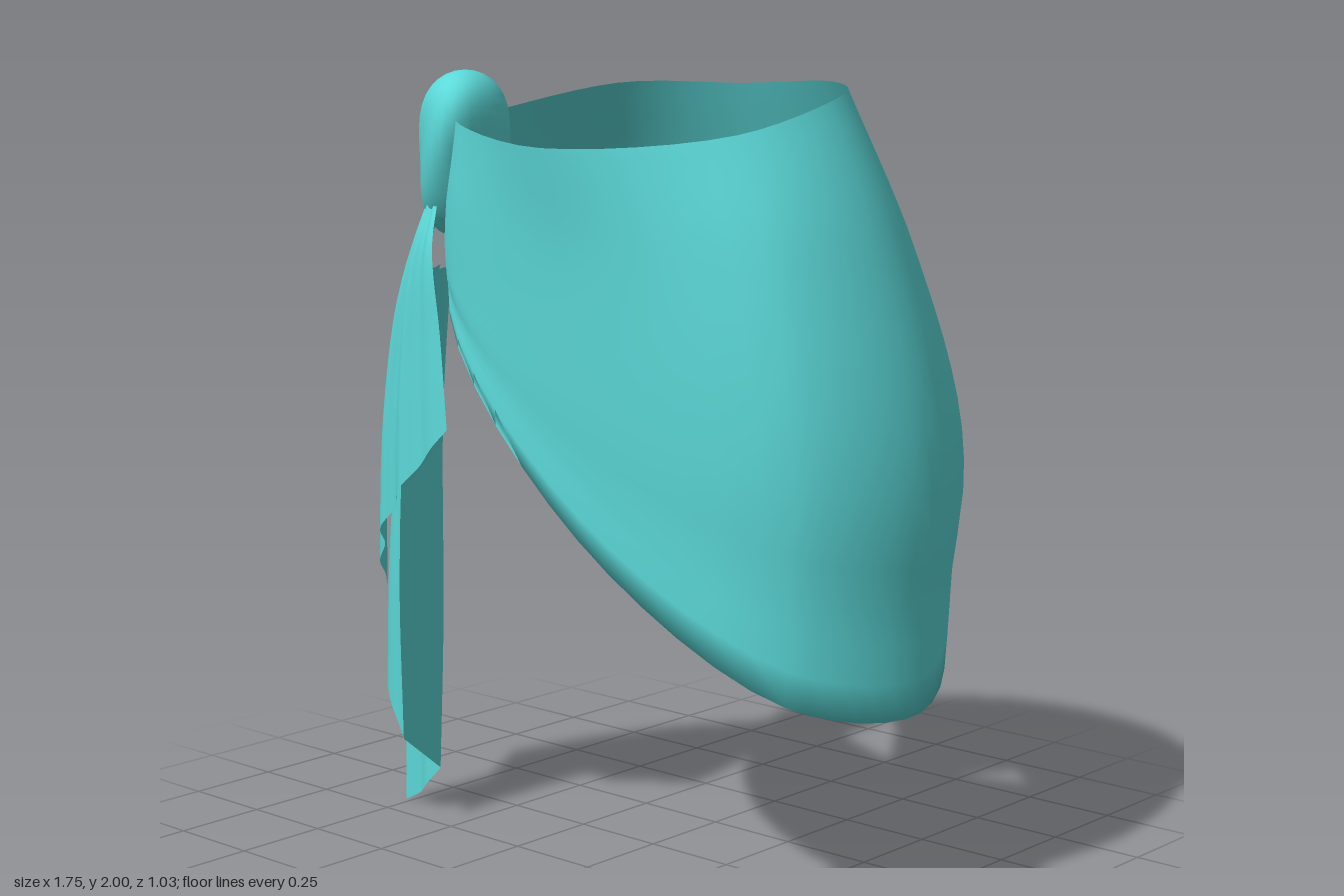
import * as THREE from 'three';

const cloth = new THREE.MeshStandardMaterial({ color: 0x5cd8d8, side: THREE.DoubleSide });
cloth.name = 'turquoise cloth';

const vec = (p) => new THREE.Vector3(...p);
const curve = (pts, closed = false) => new THREE.CatmullRomCurve3(pts.map((p) => (p.isVector3 ? p : vec(p))), closed, 'centripetal');

// Smooth surface from point(u, v), u along a row and v from row to row
function surface(name, nu, nv, point, closed = false) {
  const cols = closed ? nu : nu + 1;
  const pos = [], index = [];
  for (let j = 0; j <= nv; j++)
    for (let i = 0; i < cols; i++) pos.push(...point(i / nu, j / nv).toArray());
  for (let j = 0; j < nv; j++)
    for (let i = 0; i < nu; i++) {
      const a = j * cols + i, b = j * cols + ((i + 1) % cols);
      index.push(a, b, a + cols, b, b + cols, a + cols);
    }
  const g = new THREE.BufferGeometry();
  g.setAttribute('position', new THREE.Float32BufferAttribute(pos, 3));
  g.setIndex(index);
  g.computeVertexNormals();
  const mesh = new THREE.Mesh(g, cloth);
  mesh.name = name;
  return mesh;
}

// Wrap skirt: closed rings running knot, back, left side, front
const rings = [
  [[-0.42, 1.89, 0.15], [-0.23, 1.96, -0.12], [0.11, 1.965, -0.22], [0.47, 1.98, -0.12],
    [0.67, 1.955, 0.11], [0.57, 1.875, 0.35], [0.11, 1.835, 0.515], [-0.28, 1.88, 0.41]],
  [[-0.46, 1.79, 0.12], [-0.31, 1.72, -0.26], [0.11, 1.62, -0.38], [0.56, 1.6, -0.29],
    [0.77, 1.6, 0.03], [0.66, 1.6, 0.36], [0.14, 1.6, 0.48], [-0.3, 1.68, 0.42]],
  [[-0.49, 1.71, 0.08], [-0.34, 1.53, -0.36], [0.11, 1.25, -0.515], [0.66, 1.15, -0.385],
    [0.87, 1.1, 0], [0.74, 1.15, 0.35], [0.15, 1.3, 0.46], [-0.32, 1.52, 0.41]],
  [[-0.49, 1.65, 0.08], [-0.32, 1.38, -0.37], [0.11, 0.98, -0.49], [0.63, 0.67, -0.36],
    [0.85, 0.51, 0], [0.7, 0.56, 0.32], [0.15, 0.9, 0.44], [-0.31, 1.4, 0.41]],
];

function makeSkirt() {
  const loops = rings.map((r) => curve(r, true));
  return surface('wrapSkirt', 48, 22, (u, v) => {
    // the last rows turn back up inside as the hem fold
    const down = v * 1.1, folded = down > 1.001;
    const t = folded ? 2 - down : Math.min(down, 1);
    const p = curve(loops.map((c) => c.getPoint(u))).getPoint(t);
    // shallow groove above the hem
    let girth = 1 - 0.012 * Math.exp(-(((t - 0.85) / 0.06) ** 2));
    if (folded) girth -= 0.02;
    p.x = 0.11 + (p.x - 0.11) * girth;
    p.z *= girth;
    return p;
  }, true);
}

// Swim brief: stations of height, depth and half angle, from back hip to front hip
function makeBrief() {
  const stations = [
    [1.78, -0.26, 88], [1.62, -0.34, 68], [1.45, -0.41, 56], [1.27, -0.46, 46], [1.1, -0.45, 33],
    [0.97, -0.36, 21], [0.88, -0.18, 6], [0.85, 0, 5], [0.86, 0.12, 5.5], [0.95, 0.28, 13],
    [1.1, 0.39, 28], [1.27, 0.43, 46], [1.45, 0.44, 64], [1.7, 0.45, 88],
  ];
  const path = curve(stations.map(([y, z, a]) => [a / 100, y, z]));
  return surface('swimBrief', 20, 48, (u, v) => {
    const s = path.getPoint(v);
    const a = THREE.MathUtils.degToRad(s.x * 100) * (2 * u - 1);
    const round = s.z > 0 ? 0.55 : 0.85;
    return new THREE.Vector3(0.11 - 0.55 * Math.sin(a), s.y, s.z * Math.cos(a) ** round);
  });
}

// Hanging cloth between two edge curves, with pleats that deepen downwards
function drape(name, left, right, { bulge = 0, sag = 0, pleats = 1, depth = 0.012 }) {
  const l = curve(left), r = curve(right);
  return surface(name, 40, 18, (u, v) => {
    const p = r.getPoint(v).lerp(l.getPoint(v), u);
    const belly = Math.sin(Math.PI * u);
    p.z += belly * (bulge * (0.4 + 0.6 * v) + depth * Math.sin(2 * Math.PI * pleats * u) * (0.5 + 0.5 * v));
    p.y -= sag * belly * v;
    return p;
  });
}

// Knot: tall flattened lump, set diagonally and creased
function makeKnot() {
  const g = new THREE.SphereGeometry(1, 28, 20);
  const pos = g.attributes.position, p = new THREE.Vector3();
  for (let i = 0; i < pos.count; i++) {
    p.fromBufferAttribute(pos, i);
    const angle = Math.atan2(p.z, p.x);
    const full = 1 + 0.3 * p.y * p.y + 0.06 * Math.sin(angle * 4 + p.y * 2.5) * (1 - p.y * p.y);
    pos.setXYZ(i, p.x * 0.19 * full, p.y * 0.215, p.z * 0.115 * full);
  }
  g.rotateY(-0.95);
  for (let i = 0; i < pos.count; i++) {
    const y = pos.getY(i);
    pos.setX(i, pos.getX(i) + 0.17 * y);
    pos.setZ(i, pos.getZ(i) + 0.15 * y);
  }
  g.translate(-0.415, 1.785, 0.25);
  g.computeVertexNormals();
  const mesh = new THREE.Mesh(g, cloth);
  mesh.name = 'knot';
  return mesh;
}

export function createModel() {
  const model = new THREE.Group();
  model.name = 'wrapSkirtWithBrief';
  model.add(makeSkirt(), makeBrief(), makeKnot());

  // Edges shared by the folds that hang below the fan
  const corner = [[-0.48, 1.5, 0.24], [-0.56, 1.1, 0.2], [-0.58, 0.55, 0.19], [-0.6, 0.13, 0.19]];
  const frontEdge = [[-0.42, 1.5, 0.36], [-0.54, 1.12, 0.35], [-0.575, 0.7, 0.35], [-0.57, 0.25, 0.35]];

  // Fanned upper tail, then the folds of the lower tail
  model.add(
    drape('tailFan',
      [[-0.5, 1.7, 0.23], [-0.56, 1.57, 0.23], [-0.7, 1.3, 0.21], [-0.81, 0.95, 0.17], [-0.875, 0.58, 0.12]],
      [[-0.38, 1.68, 0.38], [-0.35, 1.56, 0.43], [-0.31, 1.35, 0.445], [-0.28, 1.12, 0.455]],
      { bulge: 0.1, pleats: 4, depth: 0.015 }),
    drape('tailFrontFold',
      [[-0.52, 1.5, 0.24], [-0.68, 1.2, 0.2], [-0.79, 0.85, 0.16], [-0.87, 0.57, 0.12]],
      frontEdge, { bulge: 0.03, depth: 0.015 }),
    drape('tailBackFold',
      [[-0.52, 1.5, 0.22], [-0.66, 1.1, 0.18], [-0.74, 0.55, 0.17], [-0.77, 0, 0.16]],
      corner, { sag: 0.015 }),
    drape('tailSideFold', corner, frontEdge, { depth: 0 }),
  );
  return model;
}
